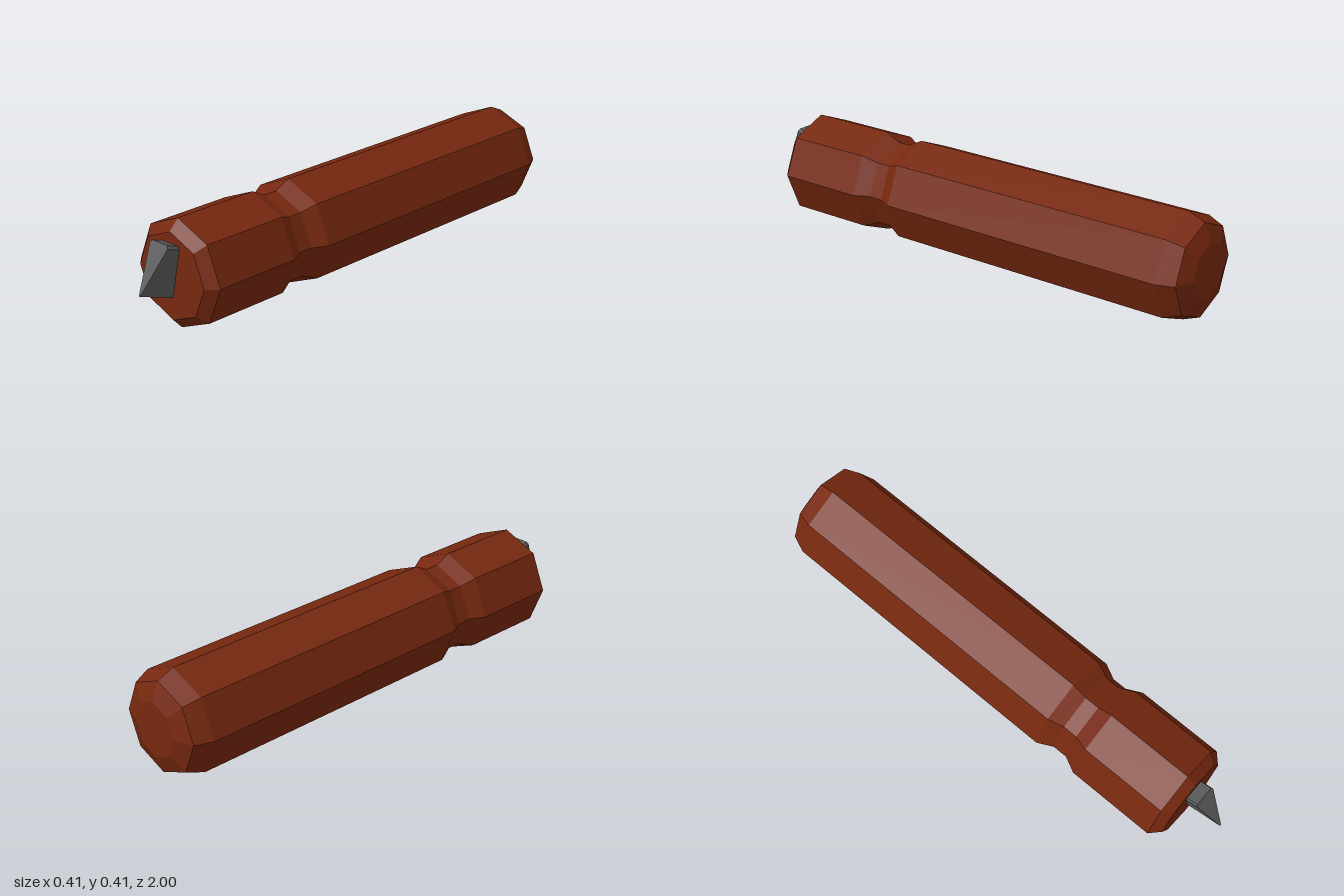
import * as THREE from 'three';

const handlePaint = new THREE.MeshStandardMaterial({ color: 0x76280f });
handlePaint.name = 'red brown wood';
const bladePaint = new THREE.MeshStandardMaterial({ color: 0x5a5a5a });
bladePaint.name = 'grey steel';

// Facets a geometry by giving every triangle its own normal.
function faceted(geometry) {
  const flat = geometry.index ? geometry.toNonIndexed() : geometry;
  flat.computeVertexNormals();
  return flat;
}

function addPart(group, name, geometry, material) {
  const mesh = new THREE.Mesh(faceted(geometry), material);
  mesh.name = name;
  group.add(mesh);
}

// Eight-sided handle: [radius, z] from the butt to the blade end.
function handleGeometry() {
  const profile = [
    [0, -1], [0.108, -1], [0.178, -0.972], [0.205, -0.905],
    [0.205, 0.287], [0.175, 0.347], [0.175, 0.405], [0.205, 0.465],
    [0.205, 0.817], [0.165, 0.855], [0, 0.855],
  ].map(([r, z]) => new THREE.Vector2(r, z));
  return new THREE.LatheGeometry(profile, 8).rotateX(Math.PI / 2).translate(0, 0.206, 0);
}

// Wedge-shaped blade: a slanted cutting face swept back and down into the handle.
function bladeGeometry() {
  const face = [
    [0.04, 0.345, 0.9], [-0.04, 0.345, 0.9], [-0.046, 0.335, 0.906],
    [-0.003, 0.178, 1], [0.003, 0.178, 1], [0.046, 0.335, 0.906],
  ];
  const sweep = 0.2, drop = 0.36;
  const root = face.map(([x, y, z]) => [x, y - sweep * drop, z - sweep]);
  const n = face.length;
  const corners = [];
  for (let i = 0; i < n; i++) {
    const j = (i + 1) % n;
    corners.push(face[i], root[i], face[j], face[j], root[i], root[j]);
  }
  for (let i = 1; i < n - 1; i++) {
    corners.push(face[0], face[i], face[i + 1]);
    corners.push(root[0], root[i + 1], root[i]);
  }
  const geometry = new THREE.BufferGeometry();
  geometry.setAttribute('position', new THREE.Float32BufferAttribute(corners.flat(), 3));
  return geometry;
}

export function createModel() {
  const tool = new THREE.Group();
  tool.name = 'carvingTool';
  addPart(tool, 'handle', handleGeometry(), handlePaint);
  addPart(tool, 'blade', bladeGeometry(), bladePaint);
  return tool;
}
